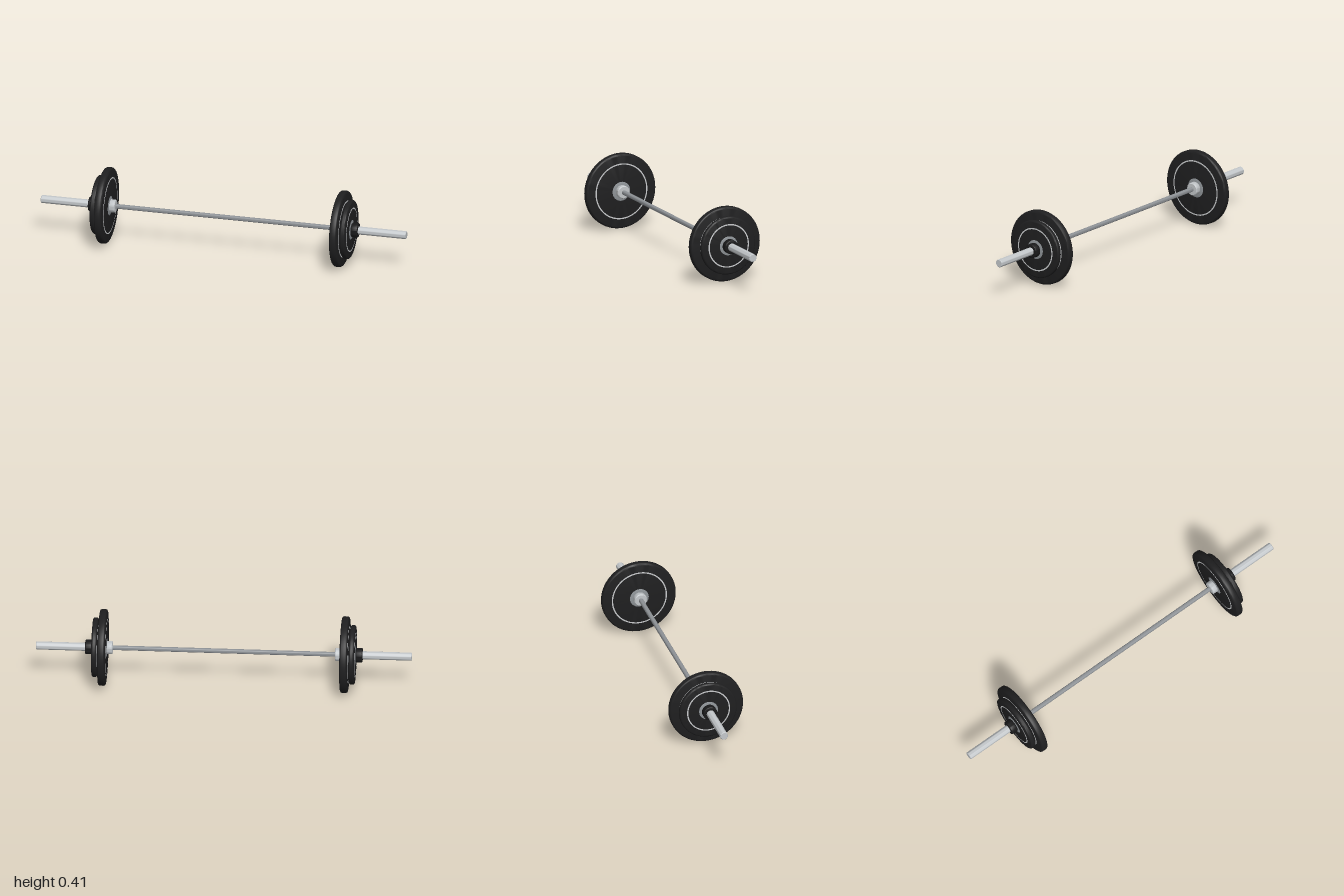
import * as THREE from 'three';
import { toCreasedNormals } from 'three/addons/utils/BufferGeometryUtils.js';

const AXIS_Y = 0.205;

const paint = (name, color) => {
  const m = new THREE.MeshStandardMaterial({ color });
  m.name = name;
  return m;
};

// Turned part along +x; profile holds [x, radius] pairs in ascending x
function turned(name, material, profile, segments = 48) {
  const points = profile.map(([x, r]) => new THREE.Vector2(r, x));
  const geometry = new THREE.LatheGeometry(points, segments);
  geometry.rotateZ(-Math.PI / 2);
  const mesh = new THREE.Mesh(toCreasedNormals(geometry, 0.6), material);
  mesh.name = name;
  return mesh;
}

// Ring with a bore and rounded outer edges
function roundedDisc(x0, x1, bore, radius, round, steps = 6) {
  const profile = [[x0, bore]];
  for (let i = 0; i <= steps; i++) {
    const a = (i / steps) * Math.PI / 2;
    profile.push([x0 + round * (1 - Math.cos(a)), radius - round * (1 - Math.sin(a))]);
  }
  for (let i = 0; i <= steps; i++) {
    const a = (i / steps) * Math.PI / 2;
    profile.push([x1 - round * (1 - Math.sin(a)), radius - round * (1 - Math.cos(a))]);
  }
  profile.push([x1, bore]);
  return profile;
}

export function createModel() {
  const rubber = paint('black rubber', 0x1f1f20);
  const collarBlack = paint('collar black', 0x19191a);
  const steel = paint('bright steel', 0xc3c7ca);
  const shaftSteel = paint('shaft steel', 0x8d9195);
  const hubSteel = paint('hub steel', 0x8f9498);
  const stripe = paint('stripe silver', 0xc9cbcd);

  // Weight plate with a thin stripe and a steel hub on both faces
  function plate(name, x0, x1, radius, round) {
    const group = new THREE.Group();
    group.name = name;
    group.add(turned('plateBody', rubber, roundedDisc(x0, x1, 0.02, radius, round), 72));
    const r = radius * 0.73;
    for (const [a, b] of [[x0 - 0.001, x0 + 0.001], [x1 - 0.001, x1 + 0.001]]) {
      group.add(turned('plateStripe', stripe,
        [[a, r - 0.0035], [a, r + 0.0035], [b, r + 0.0035], [b, r - 0.0035]], 72));
    }
    group.add(turned('plateHub', hubSteel, [
      [x0 - 0.002, 0.02], [x0 - 0.002, 0.046], [x0, 0.052],
      [x1, 0.052], [x1 + 0.002, 0.046], [x1 + 0.002, 0.02],
    ]));
    return group;
  }

  // Everything on one end of the bar
  function barEnd(name) {
    const end = new THREE.Group();
    end.name = name;
    end.add(turned('sleeve', steel,
      [[0.6, 0], [0.6, 0.0215], [0.997, 0.0215], [1, 0.019], [1, 0]]));
    end.add(turned('flange', steel, [
      [0.592, 0.012], [0.592, 0.031], [0.596, 0.035],
      [0.62, 0.035], [0.623, 0.033], [0.623, 0.012],
    ]));
    end.add(plate('largePlate', 0.624, 0.664, 0.204, 0.012));
    end.add(plate('smallPlate', 0.671, 0.699, 0.158, 0.009));
    end.add(turned('collar', collarBlack, roundedDisc(0.701, 0.738, 0.021, 0.0385, 0.005)));
    return end;
  }

  const model = new THREE.Group();
  model.name = 'barbell';

  const bar = new THREE.Group();
  bar.name = 'barAssembly';
  bar.position.y = AXIS_Y;
  model.add(bar);

  bar.add(turned('shaft', shaftSteel, [[-0.61, 0], [-0.61, 0.0125], [0.61, 0.0125], [0.61, 0]]));

  const left = barEnd('leftEnd');
  const right = barEnd('rightEnd');
  right.rotation.y = Math.PI;
  bar.add(left, right);

  return model;
}
